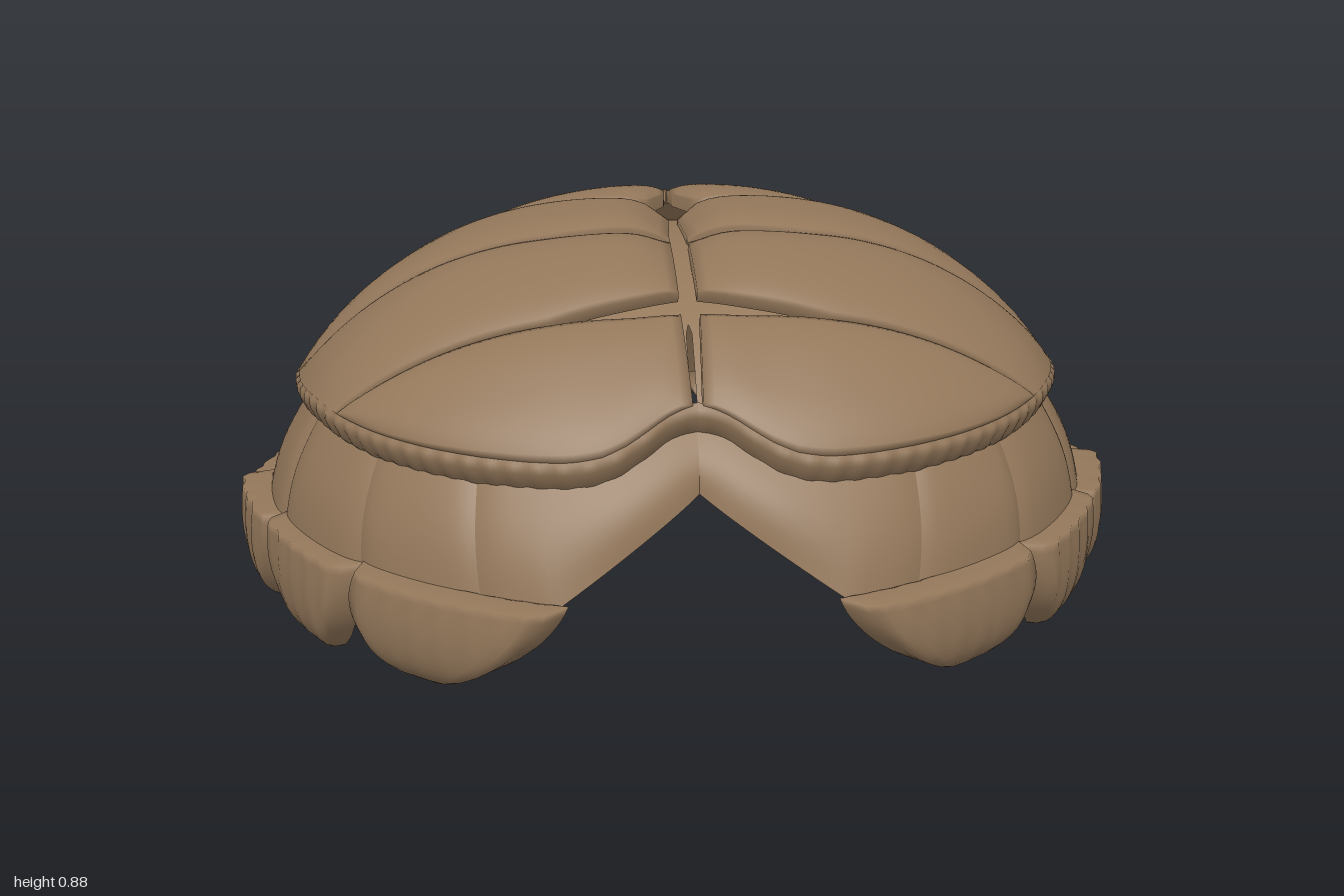
import * as THREE from 'three';

const { sin, cos, abs, pow, exp, min, max, hypot, PI } = Math;
const lerp = THREE.MathUtils.lerp;
const ZC = -0.07; // dome centre in z

// Piecewise linear lookup over [position, value] stops in rising order
function ramp(stops, x) {
  for (let i = 1; i < stops.length; i++) {
    const [x0, y0] = stops[i - 1], [x1, y1] = stops[i];
    if (x <= x1) return lerp(y0, y1, max(0, (x - x0) / (x1 - x0)));
  }
  return stops[stops.length - 1][1];
}

// Grid surface from a rule f(u, v, i, j) -> [x, y, z]
function grid(nu, nv, f) {
  const pos = [], idx = [];
  for (let j = 0; j <= nv; j++) for (let i = 0; i <= nu; i++) pos.push(...f(i / nu, j / nv, i, j));
  for (let j = 0; j < nv; j++) for (let i = 0; i < nu; i++) {
    const a = j * (nu + 1) + i, b = a + nu + 1;
    idx.push(a, a + 1, b, b, a + 1, b + 1);
  }
  const g = new THREE.BufferGeometry();
  g.setAttribute('position', new THREE.Float32BufferAttribute(pos, 3));
  g.setIndex(idx);
  g.computeVertexNormals();
  return g;
}

// Rim outline of the dome in plan; phi runs from the front (0) to the back (PI)
function rim(phi) {
  const s = sin(phi), c = cos(phi), e = c > 0 ? 2 / 2.4 : 1;
  const x = 0.855 * pow(max(s, 0), e);
  const notch = c > 0 ? 0.09 * exp(-pow(x / 0.14, 2)) : 0;
  return [x, ZC + (c > 0 ? (0.785 - notch) * pow(c, e) : 0.77 * c)];
}
const rimY = (x, z) => ramp([[-0.84, 0.33], [-0.3, 0.43], [0, 0.52], [0.3, 0.555], [0.75, 0.54]], z)
  + (z > 0.3 ? 0.09 * exp(-pow(x / 0.14, 2)) : 0);

// Relative distance from the dome centre (1 at the rim)
function rho(x, z) {
  const d = z - ZC, n = d > 0 ? 2.4 : 2;
  const notch = d > 0 ? 0.09 * exp(-pow(x / 0.14, 2)) * min(1, d / 0.7) : 0;
  return pow(pow(abs(x) / 0.855, n) + pow(abs(d) / (d > 0 ? 0.785 - notch : 0.77), n), 1 / n);
}

// Dome height with a groove along the front half of the midline
function domeY(x, z) {
  const r = min(rho(x, z), 1), k = 1 / max(r, 0.05);
  const dir = THREE.MathUtils.clamp((z - ZC) * k, -0.77, 0.785);
  const y0 = rimY(x * k, ZC + dir), p = 3 + (dir > 0 ? -0.5 : 0.65) * dir;
  const groove = 0.04 * exp(-pow(x / 0.07, 2)) * THREE.MathUtils.smoothstep(z, -0.35, -0.05) * (1 - r);
  return y0 + (0.862 - y0) * (1 - pow(r, p)) - groove;
}

// Push a point away from the heart of the shell
function puff([x, y, z], d) {
  const b = (y - 0.1) * 1.1, c = z - ZC, l = hypot(x, b, c);
  return [x + x / l * d, y + b / l * d, z + c / l * d];
}

// Domed plate between two plan edges running from the midline to the rim
function plate(back, front, open) {
  const pa = new THREE.Path(back.map(p => new THREE.Vector2(...p)));
  const pb = new THREE.Path(front.map(p => new THREE.Vector2(...p)));
  const NU = 36, NV = 26;
  return grid(NU, NV, (_, __, i, j) => {
    // outermost rows fold down as a skirt
    const u = max(0, min(1, (i - 1) / (NU - 2))), v = max(0, min(1, (j - 1) / (NV - 2)));
    const skirt = (i === 0 && open) || j === 0 || j === NV;
    const A = pa.getPoint(u), B = pb.getPoint(u);
    let x = lerp(A.x, B.x, v), z = lerp(A.y, B.y, v);
    const want = lerp(rho(A.x, A.y), rho(B.x, B.y), v);
    const k = lerp(1, want / max(rho(x, z), 0.01), u * u);
    x *= k; z = ZC + (z - ZC) * k;
    const across = 1 - pow(abs(2 * v - 1), 3.5);
    const along = open ? 1 - pow(abs(2 * u - 1), 8) : 1 - pow(u, 8);
    const p = puff([x, domeY(x, z), z], skirt ? -0.03 : 0.017 * across * along);
    if (!open && u === 0) p[0] = 0;
    return p;
  });
}

// Lower wall flaring from beneath the rim
const wallBase = phi => {
  const c = cos(phi), x = 0.925 * sin(phi), front = c > 0 ? max(0, 1 - x / 0.3) : 0;
  return [x, ramp([[-0.8, 0.21], [-0.3, 0.2], [0, 0.235], [0.3, 0.25], [0.8, 0.26]], c) + 0.2 * front,
    (c > 0 ? 0.82 : 0.79) * c - 0.15 * front];
};
function wall(phi, t, bulge) {
  const [rx, rz] = rim(phi), b = wallBase(phi);
  const d = 0.018 * sin(PI * t) + bulge;
  return [lerp(rx * 0.96, b[0], t) + sin(phi) * d, lerp(rimY(rx, rz) - 0.05, b[1], t),
    lerp(ZC + (rz - ZC) * 0.96, b[2], t) + cos(phi) * d];
}

// Pointed edge scale, closed all round with a shelf on top
function edgeScale(a, b, tip, skew) {
  const NU = 32, c = (a + b) / 2, h = (b - a) / 2 * 1.02;
  const top = wallBase(c)[1] + 0.02, depth = ramp([[-0.8, 0.03], [-0.3, 0.065]], cos(c));
  return grid(NU, 16, (u, _, i, j) => {
    const v = max(0, (j - 1) / 15), outer = i <= NU / 2;
    const s = outer ? 4 * u - 1 : 3 - 4 * u;
    const phi = c + skew * v + s * h * pow(max(0, 1 - pow(v, 2)), 0.8);
    const thick = (outer && j > 0 ? 1 : 0) * (1 - pow(abs(s), 14)) * (1 - pow(v, 8));
    const flutes = j ? 0.004 * sin(phi * 90) * (1 - v) : 0;
    const r = depth * (thick - 1) + 0.012 * sin(PI * v) - 0.03 * v * v + flutes;
    const z = cos(phi), wide = 0.965 + 0.03 * exp(-pow(z / 0.25, 2));
    return [(wide + r) * sin(phi), lerp(top, tip, v), ((z > 0 ? 0.9 : 0.812) + r) * z];
  });
}

export function createModel() {
  const model = new THREE.Group();
  model.name = 'shell';
  const horn = new THREE.MeshStandardMaterial({ color: 0x93775a, side: THREE.DoubleSide });
  horn.name = 'brown horn';

  // Each part is made for the left half and mirrored to the right
  const addPair = (name, geometry) => {
    for (const side of [1, -1]) {
      const m = new THREE.Mesh(geometry, horn);
      m.name = (side > 0 ? 'left ' : 'right ') + name;
      m.scale.x = side;
      model.add(m);
    }
  };
  const arc = (p0, p1) => Array.from({ length: 25 }, (_, i) => rim(lerp(p0, p1, i / 24)));

  // Upper plates, front to back
  const S1 = 1.0, S2 = 1.47, S3 = 1.92, S4 = 2.43;
  addPair('front plate', plate([[0.02, 0.43], [0.3, 0.425], rim(S1)], arc(0.005, S1), true));
  addPair('second plate', plate([[0.02, 0.12], [0.3, 0.11], rim(S2)], [[0.02, 0.36], [0.3, 0.42], rim(S1)], true));
  addPair('third plate', plate([[0.01, -0.08], [0.06, -0.14], [0.13, -0.145], [0.45, -0.22], rim(S3)],
    [[0.02, 0.09], [0.3, 0.105], rim(S2)], true));
  addPair('fourth plate', plate([[0.003, -0.33], [0.17, -0.5], [0.33, -0.6], rim(S4)],
    [[0.01, -0.25], [0.06, -0.15], [0.13, -0.15], [0.45, -0.225], rim(S3)], true));
  addPair('rear plate', plate(arc(PI, S4), [[0, -0.33], [0.17, -0.5], [0.33, -0.6], rim(S4)], false));

  // Fluted bevel under the plates
  const lip = [[-0.006, 0.004], [0.006, -0.008], [0.006, -0.025], [-0.008, -0.055], [-0.035, -0.082]];
  addPair('fluted rim', grid(260, 4, (u, _, i, j) => {
    const phi = lerp(0, PI, u), [x, z] = rim(phi);
    const d = lip[j][0] + (j > 0 && j < 4 ? 0.0025 * sin(i * 1.25) : 0);
    return [max(0, x + sin(phi) * d), rimY(x, z) + lip[j][1], z + cos(phi) * d];
  }));

  // Lower wall panels
  const seams = [0, 0.5, 0.85, 1.25, 1.58, 2.01, 2.4, 2.68, PI];
  for (let k = 1; k < seams.length; k++) {
    addPair('wall panel ' + k, grid(20, 10, (u, v) =>
      wall(lerp(seams[k - 1], seams[k], u), v, 0.01 * (1 - pow(2 * u - 1, 6)))));
  }

  // Edge scales: start angle, end angle, tip height, tip lean
  [[0.31, 0.86, 0.04, 0.1], [0.86, 1.26, 0.01, 0], [1.26, 1.59, 0, 0], [1.6, 2.01, 0.04, -0.02],
    [2.02, 2.41, 0.05, -0.07], [2.42, 2.68, 0.1, -0.02], [2.68, 2.87, 0.1, 0],
    [2.87, 3.06, 0.1, 0]].forEach((s, k) => addPair('edge scale ' + (k + 1), edgeScale(...s)));
  const tail = new THREE.Mesh(edgeScale(3.06, 2 * PI - 3.06, 0.1, 0), horn);
  tail.name = 'rear edge scale';
  model.add(tail);

  // Smooth inner lining, slit along the front midline
  addPair('lining', grid(80, 30, (u, v) => {
    const phi = PI * u, [bx, by, bz] = wallBase(phi), r = pow(v, 0.8);
    const x = (bx - 0.02 * sin(phi)) * r, z = (bz - 0.02 * cos(phi)) * r;
    const y = 0.815 - (0.815 - by) * pow(r, 3.5 - 1.1 * cos(phi) ** 2);
    return [max(x, z > 0.38 && z < 0.62 ? 0.006 : 0), y, z];
  }));
  return model;
}
